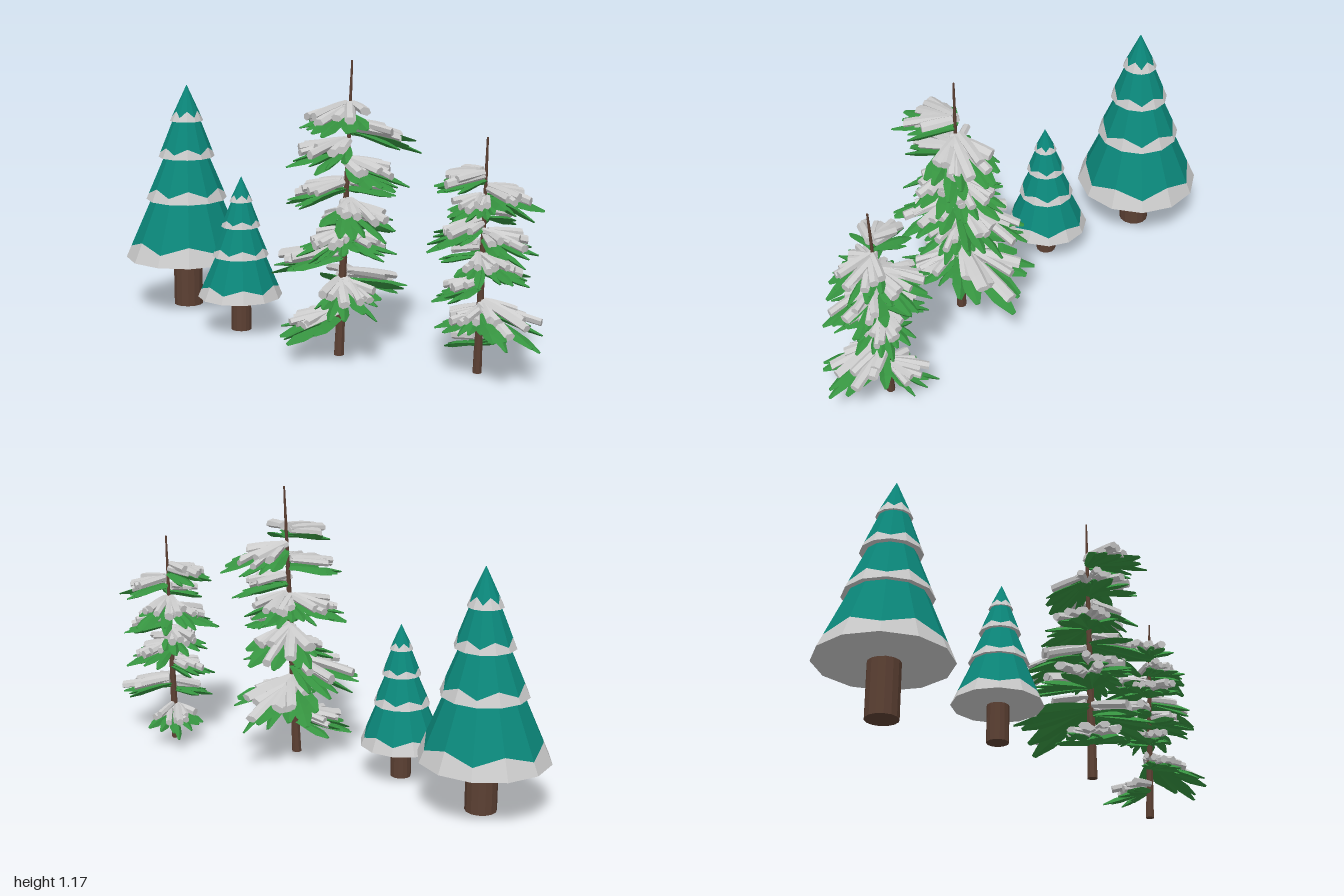
import * as THREE from 'three';
import { mergeGeometries } from 'three/addons/utils/BufferGeometryUtils.js';

const mat = (color) => new THREE.MeshStandardMaterial({ color, flatShading: true });
const snowMat = mat(0xcccccc);
const tealMat = mat(0x0b877a);
const greenMat = mat(0x369340);
const barkMat = mat(0x5c4033);

function add(group, name, geometry, material) {
  const mesh = new THREE.Mesh(geometry, material);
  mesh.name = name;
  group.add(mesh);
  return mesh;
}

// Small seeded generator
function seeded(seed) {
  let s = seed;
  return () => (s = (s * 16807) % 2147483647) / 2147483647;
}

// Skin through rings of equal point count, facing outwards when they rise
function loft(rings) {
  const pos = [];
  for (let r = 0; r < rings.length - 1; r++) {
    const a = rings[r], b = rings[r + 1], n = a.length;
    for (let i = 0; i < n; i++) {
      const j = (i + 1) % n;
      for (const p of [a[i], b[i], b[j], a[i], b[j], a[j]]) pos.push(...p);
    }
  }
  const g = new THREE.BufferGeometry();
  g.setAttribute('position', new THREE.Float32BufferAttribute(pos, 3));
  g.computeVertexNormals();
  return g;
}

// Stacked-cone tree with a zigzag snow hem on each tier
function coneTree(name, x, z, scale) {
  const tree = new THREE.Group();
  tree.name = name;
  const trunk = add(tree, 'coneTrunk', new THREE.CylinderGeometry(0.064, 0.064, 0.23, 14), barkMat);
  trunk.position.set(0.006, 0.125, 0);

  const sides = 12;
  // bottom y, bottom radius, top y, top radius, low and high hem height
  const tiers = [
    [0.23, 0.265, 0.5, 0.15, 0.05, 0.085],
    [0.49, 0.176, 0.69, 0.092, 0.025, 0.055],
    [0.677, 0.122, 0.85, 0.055, 0.02, 0.045],
    [0.835, 0.072, 0.99, 0.001, 0.018, 0.045],
  ];
  for (const [y0, r0, y1, r1, low, high] of tiers) {
    const ring = (radius, height) => Array.from({ length: sides }, (_, i) => {
      const a = (i / sides) * Math.PI * 2;
      const y = height(i);
      const r = radius(y);
      const lean = (y - 0.23) / 0.76;
      return [r * Math.cos(a) + 0.02 * lean, y, r * Math.sin(a) + 0.01 * lean];
    });
    const slope = (y) => r0 + (r1 - r0) * (y - y0) / (y1 - y0);
    const hem = ring(slope, (i) => y0 + (i % 2 ? low : high));
    const bottom = ring(slope, () => y0);
    const centre = ring(() => 0, () => y0);
    const top = ring(slope, () => y1);
    add(tree, 'snowHem', loft([centre, bottom, hem]), snowMat);
    add(tree, 'needleTier', loft([hem, top]), tealMat);
  }
  tree.scale.setScalar(scale);
  tree.position.set(x, 0, z);
  return tree;
}

// One drooping finger along +x from r0 to r1, with a width profile
function finger(r0, r1, width, thick, lift, droop, sides, profile) {
  const g = new THREE.CylinderGeometry(1, 1, 1, sides, 4);
  g.rotateZ(-Math.PI / 2);
  const p = g.attributes.position;
  for (let i = 0; i < p.count; i++) {
    const t = p.getX(i) + 0.5, w = profile(t);
    const r = r0 + (r1 - r0) * t;
    p.setXYZ(i, r, p.getY(i) * thick * w + lift - droop * Math.pow(r / 0.25, 1.5), p.getZ(i) * width * w);
  }
  return g;
}
const bladeProfile = (t) => (t < 0.7 ? 0.45 + 0.8 * t : 1.01 - (t - 0.7) * 2.5);
const snowProfile = (t) => 0.7 + 0.6 * t - 0.4 * t * t;

// Branch: fan of green blades with blunt snow fingers on top
function branch(tree, [height, azimuth, length, tilt = 0.13], centre, rnd) {
  const group = new THREE.Group();
  group.name = 'branch';
  const k = length / 0.25;
  const fan = (count, spread, make) => {
    const parts = [];
    for (let i = 0; i < count; i++) {
      const t = (i / (count - 1)) * 2 - 1;
      const g = make(length * (1 - 0.25 * t * t) * (0.8 + 0.24 * rnd()));
      g.rotateX((rnd() - 0.5) * 1.1);
      g.rotateY(t * spread + (rnd() - 0.5) * 0.25);
      parts.push(g);
    }
    return mergeGeometries(parts);
  };
  const blades = fan(8, 0.85, (len) =>
    finger(0.005, len, 0.027 * k, 0.012, -0.015 * rnd(), 0.015 + 0.035 * rnd(), 4, bladeProfile));
  const snow = fan(8, 0.72, (len) =>
    finger(0.01, len * (0.66 + 0.2 * rnd()), (0.017 + 0.008 * rnd()) * k, 0.015 + 0.006 * rnd(),
      0.016 + 0.024 * rnd(), 0.015 + 0.03 * rnd(), 6, snowProfile));
  add(group, 'needles', blades, greenMat);
  add(group, 'branchSnow', snow, snowMat);
  const [x, z] = centre(height);
  group.position.set(x, height, z);
  group.rotation.set(0, -azimuth * Math.PI / 180, -tilt);
  tree.add(group);
}

// Slender tree: leaning tapered trunk with branches [height, azimuth, length, tilt]
function slenderTree(name, base, tip, height, radius, branches, seed) {
  const tree = new THREE.Group();
  tree.name = name;
  const rnd = seeded(seed);
  const centre = (y) => [0, 1].map((i) => base[i] + (tip[i] - base[i]) * y / height);
  const g = new THREE.CylinderGeometry(0.004, radius, height, 8, 6);
  g.translate(0, height / 2, 0);
  const p = g.attributes.position;
  for (let i = 0; i < p.count; i++) {
    const [cx, cz] = centre(p.getY(i));
    p.setX(i, p.getX(i) + cx);
    p.setZ(i, p.getZ(i) + cz);
  }
  add(tree, 'slenderTrunk', g, barkMat);
  for (const b of branches) branch(tree, b, centre, rnd);
  return tree;
}

export function createModel() {
  const model = new THREE.Group();
  model.name = 'winterTrees';
  model.add(coneTree('largeConeTree', -0.735, -0.192, 1));
  model.add(coneTree('smallConeTree', -0.348, 0.067, 0.665));

  model.add(slenderTree('tallSlenderTree', [0.158, 0.22], [0.2, 0.196], 1.17, 0.021, [
    [0.97, 95, 0.27, 0.09], [0.9, -42, 0.3], [0.83, 125, 0.27, 0.05], [0.76, 8, 0.26],
    [0.67, 165, 0.26, 0.1], [0.68, -75, 0.24], [0.6, 40, 0.28], [0.55, -95, 0.32, 0.18],
    [0.48, 112, 0.23], [0.47, -8, 0.21], [0.4, 180, 0.32, 0.1], [0.31, -80, 0.37, 0.13],
    [0.28, 55, 0.27, 0.15], [0.155, 152, 0.29, 0.1],
  ], 11));
  model.add(slenderTree('shortSlenderTree', [0.728, 0.225], [0.755, 0.247], 0.915, 0.018, [
    [0.755, 168, 0.22, 0.06], [0.7, 0, 0.23], [0.67, 110, 0.18], [0.61, -110, 0.25],
    [0.57, 150, 0.23], [0.53, 15, 0.24, 0.08], [0.48, -150, 0.21], [0.44, 62, 0.2],
    [0.41, -40, 0.21], [0.34, 160, 0.19], [0.25, 22, 0.28, 0.14], [0.23, 125, 0.18],
    [0.125, -115, 0.2],
  ], 29));
  return model;
}
